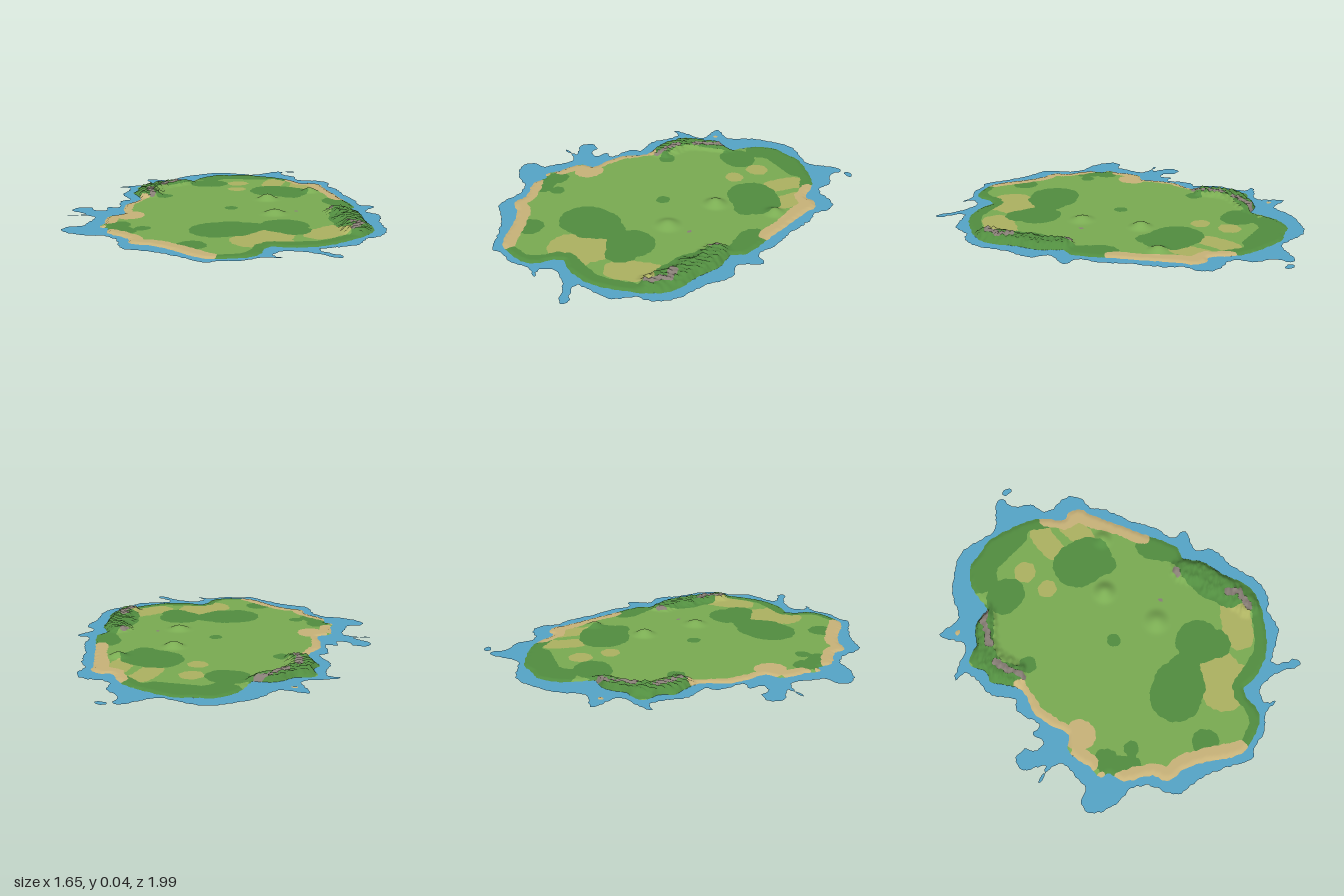
import * as THREE from 'three';
import { mergeVertices } from 'three/addons/utils/BufferGeometryUtils.js';

// All plan coordinates are x, z in hundredths of a unit
const COAST = [-18, -77.5, -5, -76, 4, -73, 13.5, -65.5, 19, -68, 25, -66, 28.5, -59.5, 35, -50, 40, -43, 46, -34,
  54, -23, 57, -16, 56, -10, 64, -2.5, 68, 8, 76, 22, 76, 32, 74, 38, 68, 49.5, 61, 59, 48, 66.5, 40, 67.5,
  38.5, 73, 39.5, 79.5, 36, 86.5, 27, 92, 20, 94.5, 11, 92, 3, 88.5, -10, 85, -20, 85.5, -24.5, 79, -38.5, 73.5,
  -42, 66.5, -47, 65.5, -48.5, 58.5, -52, 51.5, -53, 45, -48.5, 38.5, -52.5, 32, -57.5, 20, -56.5, 5.5, -64, -3,
  -68, -7, -67, -13, -72, -20, -70, -24.5, -64, -28, -60.5, -36, -55, -40.5, -49, -43, -50, -55, -47.5, -64,
  -43, -70.5, -36, -73, -29, -77];
const SHALLOWS = [-30, -80, -21, -82, -17, -89, -12, -95, -8, -96, -6.5, -88.5, 3, -84, 7, -76.5, 12.5, -75, 24, -77,
  29, -71, 30.5, -64, 36, -59, 45, -44, 54, -33, 58.5, -23.5, 66.5, -23, 64.5, -10, 71, -7.5, 74.5, -1, 75.5, 7,
  82, 23, 80.5, 35, 76, 40, 75.5, 50.5, 61, 64, 64.5, 67.5, 73, 69.5, 72, 73.5, 58.5, 70, 46, 73, 45, 79.5,
  51.5, 82.5, 42.5, 84, 36, 91, 27, 95, 21, 99.7, 13.5, 97, -8, 93, -20, 93.5, -29, 82, -37, 78.5, -44.5, 80.5,
  -60.5, 78, -61.5, 70, -56, 66.5, -57, 58.5, -60.5, 48, -76.5, 52, -67, 46, -77.5, 41.5, -77.5, 34.5, -71, 33,
  -66, 37, -60.5, 34.5, -64.5, 29, -58.5, 26.5, -64.5, 13.5, -61.5, 8, -71, 0, -73, -10, -76.5, -18, -83, -17.5,
  -78, -23, -68.5, -31.5, -78, -44, -64.5, -46, -60.5, -60.5, -52, -72, -43.5, -80];

// Painted regions: brush strokes, each a radius followed by its path
const ROCK = [[1.7, -50, -42, -54, -37, -56.5, -29, -58, -24], [1.7, -60, -14, -58, -8, -55, -5, -52, 0],
  [1.9, 48, -6, 48, -3], [1.9, 64, 20, 69, 23, 69, 33], [1.2, 32, 4]];
const BEACH = [[4.5, 6, -71, 13, -64, 22, -64, 27, -56, 37, -44, 44, -33], [3, -56, 3, -56, 20, -51, 32, -47, 39],
  [8, -44, 42], [4, -50, 50, -47, 57], [2, -46, 65], [4, -38, 72, -24, 77, -18, 83, -8, 82, 5, 86, 20, 92], [3, -69, -40]];
const DARK = [[13, 5, -38, 12, -38], [6, 18, -30], [9, -39, -43, -35, -44], [9, -43, -60, -38, -68, -15, -74],
  [4, -3, -73, 4, -70], [3.5, -2, 9], [4.5, -47, -4], [12, 35, 34], [8, 42, 40], [13.5, 8, 52, 13, 48], [9, 19, 43],
  [7, 7, 80], [6, -40, 60], [4, -26, 62], [7, -40, 66, -33, 70], [9.5, 58, -4, 60, 10, 66, 20], [7, 44, -26, 50, -20],
  [5, 50, -20, 56, -8], [5, 74, 25, 73, 38, 66, 50, 60, 58, 47, 64, 40, 66], [4, 37, 70, 38, 80, 34, 88, 27, 91],
  [7, -54, -41, -64, -24, -65, -10, -58, -3]];
const DRY = [[12, 34, 54, 31, 62], [5, 43, 60], [8, 55, 43, 61, 31], [6, -2, -65, -1, -53], [6, -21, -50], [5, -16, -35],
  [6, 14, -62, 17, -50]];
const RIDGES = [[8.5, -53, -40, -60, -28, -62, -15, -56, -4], [8, 52, -4, 59, 4, 64, 14, 69, 31], [7, 59, 12]];
// Hills: x, z, radius, height
const HILLS = [[9, -16.5, 7.5, 3], [23, 12.5, 8, 2.3], [25, -43.5, 6.5, 2.3]];

function segmentDistance(x, z, ax, az, bx, bz) {
  const dx = bx - ax, dz = bz - az, len = dx * dx + dz * dz;
  const t = len ? Math.min(1, Math.max(0, ((x - ax) * dx + (z - az) * dz) / len)) : 0;
  return Math.hypot(x - ax - t * dx, z - az - t * dz);
}

const wobble = (x, z) => Math.sin(x * 0.83 + 1.7 * Math.sin(z * 0.47)) * Math.sin(z * 0.91 + 1.3 * Math.sin(x * 0.53));

// Positive inside a set of strokes
function strokeField(strokes, rough = 0.5) {
  return ([x, z]) => {
    let best = -Infinity;
    for (const [r, ...p] of strokes) {
      for (let i = 0; i < Math.max(2, p.length - 2); i += 2) {
        const j = Math.min(i + 2, p.length - 2);
        best = Math.max(best, r - segmentDistance(x, z, p[i], p[i + 1], p[j], p[j + 1]));
      }
    }
    return best + rough * wobble(x, z);
  };
}

// Positive inside a smooth closed outline
function outlineField(flat, rough) {
  const knots = [];
  for (let i = 0; i < flat.length; i += 2) knots.push(new THREE.Vector3(flat[i], 0, flat[i + 1]));
  const pts = new THREE.CatmullRomCurve3(knots, true).getPoints(knots.length * 3);
  return ([x, z]) => {
    let inside = false, d = Infinity;
    for (let i = 0; i < pts.length - 1; i++) {
      const a = pts[i], b = pts[i + 1];
      d = Math.min(d, segmentDistance(x, z, a.x, a.z, b.x, b.z));
      if ((a.z > z) !== (b.z > z) && x < a.x + (z - a.z) / (b.z - a.z) * (b.x - a.x)) inside = !inside;
    }
    return (inside ? d : -d) + rough * wobble(x, z);
  };
}

// Cuts triangles along the zero line of a field
function split(triangles, field) {
  const inside = [], outside = [];
  for (const tri of triangles) {
    const v = tri.map(field);
    if (v.every(n => n >= 0)) { inside.push(tri); continue; }
    if (v.every(n => n < 0)) { outside.push(tri); continue; }
    for (const [sign, out] of [[1, inside], [-1, outside]]) {
      const poly = [];
      for (let i = 0; i < 3; i++) {
        const j = (i + 1) % 3;
        if (sign > 0 ? v[i] >= 0 : v[i] < 0) poly.push(tri[i]);
        if ((v[i] >= 0) !== (v[j] >= 0)) {
          // interpolate in a fixed direction so both sides share the same point
          const [a, b] = v[i] >= 0 ? [i, j] : [j, i], t = v[a] / (v[a] - v[b]);
          poly.push([tri[a][0] + t * (tri[b][0] - tri[a][0]), tri[a][1] + t * (tri[b][1] - tri[a][1])]);
        }
      }
      for (let k = 2; k < poly.length; k++) out.push([poly[0], poly[k - 1], poly[k]]);
    }
  }
  return [inside, outside];
}

export function createModel() {
  const island = new THREE.Group();
  island.name = 'island';
  const coast = outlineField(COAST, 0.4), islet = strokeField([[1.6, -69, -40]], 0.5);
  const shallows = outlineField(SHALLOWS, 0.6), farWater = strokeField([[1.8, -5, -98, -3, -98.2]], 0.4);
  const land = p => Math.max(coast(p), islet(p));
  const water = p => Math.max(shallows(p), farWater(p));
  const ridge = strokeField(RIDGES, 0.8);
  const step = THREE.MathUtils.smoothstep;

  // Height of the ground in hundredths
  const height = p => {
    const [x, z] = p, rim = step(land(p), 0, 2);
    let y = 0.6;
    for (const [hx, hz, r, h] of HILLS) {
      const d = Math.hypot(x - hx, z - hz) / r;
      if (d < 1) y += h * (0.5 + 0.5 * Math.cos(Math.PI * d));
    }
    const crest = step(ridge(p), 0, 5);
    y += crest * (2.2 + 0.5 * wobble(x * 1.3, z * 1.3) + 0.3 * Math.sin(x * 1.9 + z * 1.1));
    return rim * y;
  };

  const addSheet = (name, materialName, color, triangles, level) => {
    const pos = [];
    for (const tri of triangles) for (const p of tri) pos.push(p[0] / 100, level(p) / 100, p[1] / 100);
    let geo = new THREE.BufferGeometry();
    geo.setAttribute('position', new THREE.Float32BufferAttribute(pos, 3));
    geo = mergeVertices(geo, 1e-5);
    geo.computeVertexNormals();
    const material = new THREE.MeshStandardMaterial({ color, side: THREE.DoubleSide });
    material.name = materialName;
    const mesh = new THREE.Mesh(geo, material);
    mesh.name = name;
    island.add(mesh);
  };

  // Plan grid, cut into sea and land
  const grid = [];
  for (let x = -85; x < 85; x++) {
    for (let z = -100; z < 100; z++) {
      grid.push([[x, z], [x, z + 1], [x + 1, z]], [[x + 1, z], [x, z + 1], [x + 1, z + 1]]);
    }
  }
  let [ground, sea] = split(grid, land);
  addSheet('shallowWater', 'water blue', 0x56a6c9, split(sea, water)[0], () => 0);

  // Ground cover, each layer taken out of what remains
  const layers = [
    ['cliffRock', 'rock grey', 0x8a8078, strokeField(ROCK, 0.9)],
    ['beach', 'sand', 0xcab47a, strokeField(BEACH)],
    ['darkGrass', 'dark green', 0x528e40, strokeField(DARK)],
    ['dryGrass', 'dry olive', 0xaeb362, strokeField(DRY)],
  ];
  for (const [name, materialName, color, field] of layers) {
    const [part, rest] = split(ground, field);
    addSheet(name, materialName, color, part, height);
    ground = rest;
  }
  addSheet('meadow', 'grass green', 0x7bad53, ground, height);
  return island;
}
